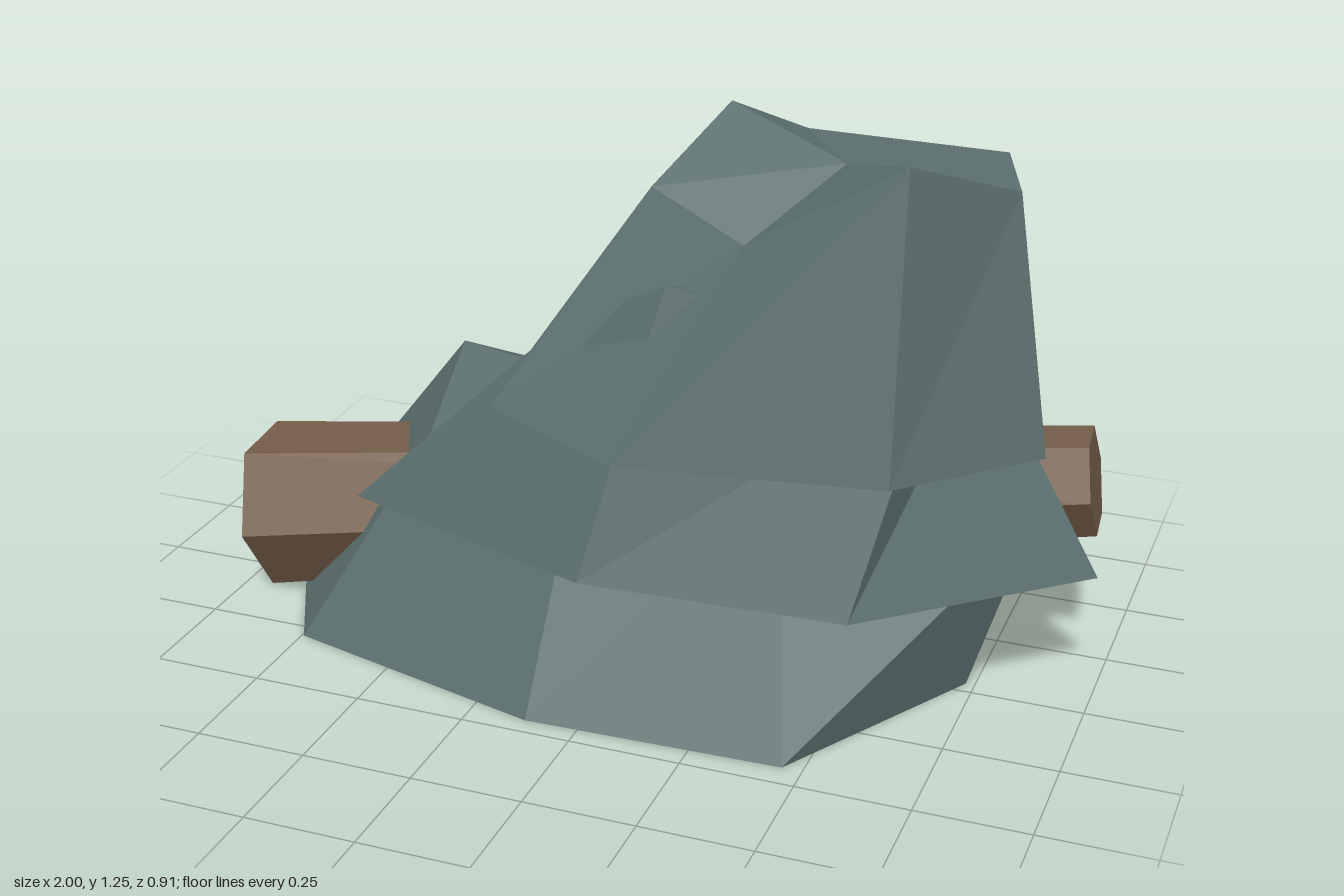
import * as THREE from 'three';

// Seven-sided irregular tier: flat bottom ring [x, z] at height y, uneven top ring [x, y, z]
function tierGeometry(y, bottom, top, capCentre) {
  const low = bottom.map(([x, z]) => [x, y, z]);
  const n = low.length;
  const mid = [0, y, 0];
  low.forEach((p) => { mid[0] += p[0] / n; mid[2] += p[2] / n; });
  const positions = [];
  const tri = (a, b, c) => positions.push(...a, ...b, ...c);
  for (let i = 0; i < n; i++) {
    const j = (i + 1) % n;
    tri(low[i], low[j], top[j]);
    tri(low[i], top[j], top[i]);
    tri(capCentre, top[i], top[j]);
    tri(mid, low[j], low[i]);
  }
  const g = new THREE.BufferGeometry();
  g.setAttribute('position', new THREE.Float32BufferAttribute(positions, 3));
  g.computeVertexNormals();
  return g;
}

export function createModel() {
  const group = new THREE.Group();
  const foliage = new THREE.MeshStandardMaterial({ color: 0x5a6e6d, flatShading: true });
  foliage.name = 'foliage grey green';
  const bark = new THREE.MeshStandardMaterial({ color: 0x735d49, flatShading: true });
  bark.name = 'bark brown';

  // Foliage tiers, rings run counterclockwise from the front right corner
  const tiers = [
    {
      name: 'lowerTier', y: 0,
      bottom: [[0.455, 0.44], [0.73, -0.035], [0.55, -0.315], [-0.395, -0.395], [-0.99, -0.19], [-0.745, 0.29], [-0.12, 0.455]],
      top: [[0.34, 0.5, 0.12], [0.85, 0.4, -0.075], [0.46, 0.5, -0.23], [-0.2, 0.51, -0.26], [-0.55, 0.57, -0.21], [-0.5, 0.46, 0.1], [-0.1, 0.48, 0.2]],
      centre: [0, 0.55, -0.08],
    },
    {
      name: 'middleTier', y: 0.31,
      bottom: [[0.56, 0.35], [1.0, -0.04], [0.54, -0.385], [-0.14, -0.455], [-0.38, -0.305], [-0.66, 0.155], [-0.03, 0.375]],
      top: [[0.66, 0.8, 0.14], [0.72, 0.79, -0.06], [0.47, 0.78, -0.345], [0.06, 0.97, -0.365], [0, 0.8, -0.24], [-0.17, 0.78, 0.09], [0.1, 0.935, 0.185]],
      centre: [0.3, 0.85, -0.08],
    },
    {
      name: 'upperTier', y: 0.615,
      bottom: [[0.63, 0.325], [0.89, 0.06], [0.68, -0.32], [0.28, -0.315], [-0.34, -0.13], [-0.29, 0.22], [0.06, 0.415]],
      top: [[0.61, 1.25, 0.19], [0.79, 1.155, -0.02], [0.71, 1.16, -0.255], [0.28, 1.18, -0.21], [0.13, 1.245, -0.14], [0.02, 1.1, 0.055], [0.25, 1.02, 0.125]],
      centre: [0.42, 1.17, -0.03],
    },
  ];
  for (const t of tiers) {
    const mesh = new THREE.Mesh(tierGeometry(t.y, t.bottom, t.top, t.centre), foliage);
    mesh.name = t.name;
    group.add(mesh);
  }

  // Tapered six-sided log lying through the tiers
  const start = new THREE.Vector3(-0.965, 0.175, 0.005);
  const end = new THREE.Vector3(0.955, 0.465, -0.19);
  const d = end.clone().sub(start);
  const geo = new THREE.CylinderGeometry(0.12, 0.195, d.length(), 6);
  geo.rotateZ(-Math.PI / 2);
  const log = new THREE.Mesh(geo, bark);
  log.name = 'log';
  log.position.copy(start).add(end).multiplyScalar(0.5);
  log.rotation.set(0, Math.atan2(-d.z, d.x), Math.atan2(d.y, Math.hypot(d.x, d.z)), 'YZX');
  group.add(log);

  return group;
}
